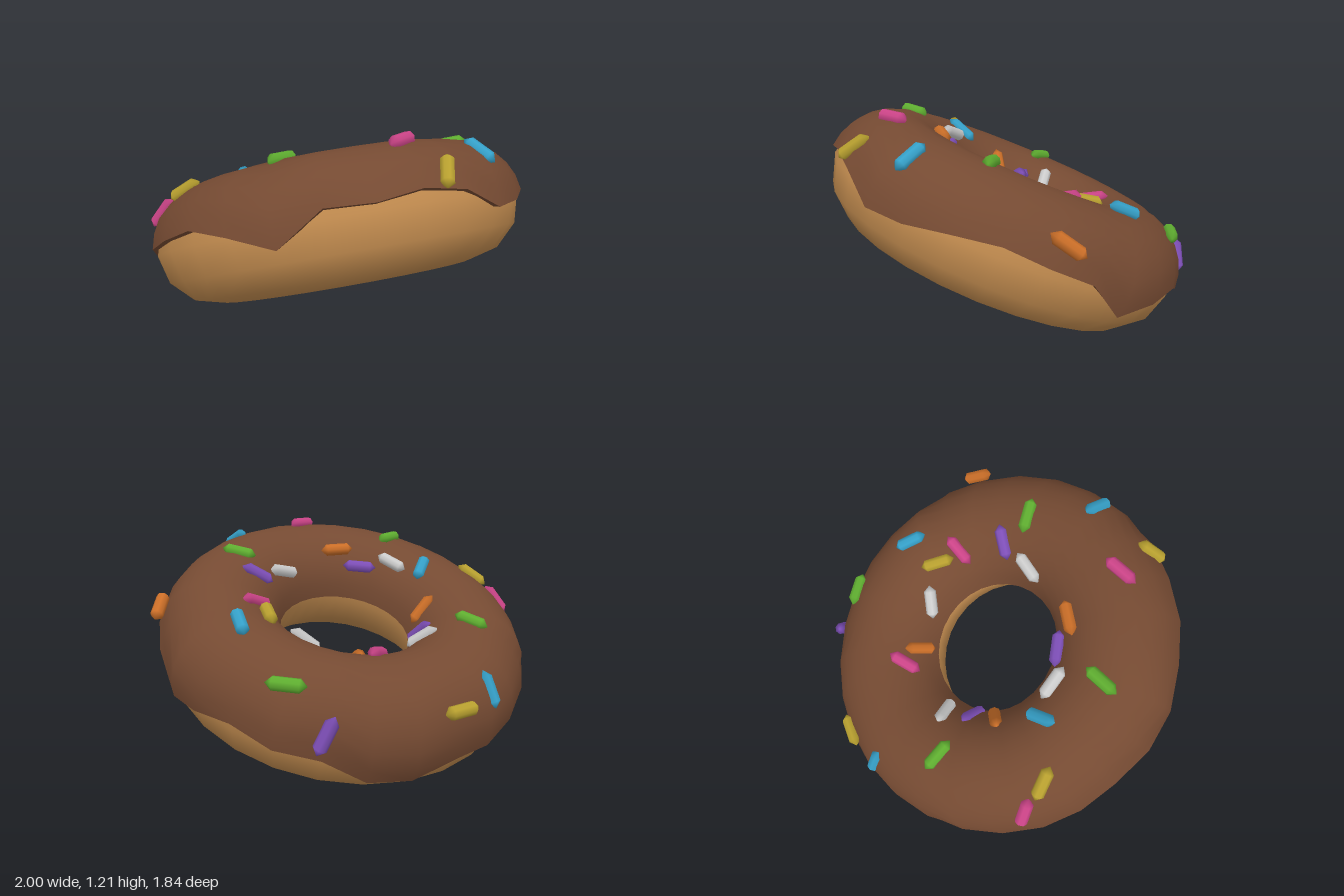
import * as THREE from 'three';
import { mergeGeometries } from 'three/addons/utils/BufferGeometryUtils.js';

const RING = 0.67, DOUGH = 0.295, ICING = 0.318, SEGS = 28;
const TILT = THREE.MathUtils.degToRad(24.5);
const CENTRE = new THREE.Vector3(-0.015, 0.572, 0);

// Height of the icing's outer edge at each step round the ring, from the front towards +x
const DRIPS = [0.06, 0.03, -0.065, -0.04, 0.015, 0.055, 0.04, 0.028, -0.098, -0.013, 0.055, 0.019, 0.033, -0.08,
  -0.09, 0.0, -0.03, 0.0, 0.05, -0.03, 0.04, 0.03, 0.05, 0.065, 0.0, -0.092, 0.043, 0.03];

// Smooth strip round the ring; point(k, j) gives [tube angle, tube radius]
function ringStrip(rows, point) {
  const pos = [], idx = [];
  for (let j = 0; j <= rows; j++) {
    for (let k = 0; k < SEGS; k++) {
      const [a, r] = point(k, j), t = (k / SEGS) * Math.PI * 2;
      const rho = RING + r * Math.cos(a);
      pos.push(rho * Math.sin(t), r * Math.sin(a), rho * Math.cos(t));
      if (j < rows) {
        const n = (k + 1) % SEGS, p = j * SEGS + k, q = j * SEGS + n;
        idx.push(p, q, p + SEGS, q, q + SEGS, p + SEGS);
      }
    }
  }
  const g = new THREE.BufferGeometry();
  g.setAttribute('position', new THREE.Float32BufferAttribute(pos, 3));
  g.setIndex(idx);
  g.computeVertexNormals();
  return g;
}

// Icing shell with a thin lip at its wavy outer edge and its even inner edge
function icingGeometry() {
  const inner = THREE.MathUtils.degToRad(172), rows = 12;
  const outer = k => Math.asin(DRIPS[k] / ICING);
  const lip = 0.275;
  return mergeGeometries([
    ringStrip(rows, (k, j) => [THREE.MathUtils.lerp(outer(k), inner, j / rows), ICING]),
    ringStrip(1, (k, j) => [outer(k), j ? ICING : lip]),
    ringStrip(1, (k, j) => [inner, j ? lip : ICING]),
  ]);
}

// Height at which something dropped at x, z rests on the icing (or passes closest to it)
function restHeight(x, z) {
  let best = Infinity, bestY = 0;
  const p = new THREE.Vector3(), axis = new THREE.Vector3(1, 0, 0);
  for (let y = 1.3; y > 0.2; y -= 0.004) {
    p.set(x, y, z).sub(CENTRE).applyAxisAngle(axis, TILT);
    const d = Math.hypot(Math.hypot(p.x, p.z) - RING, p.y);
    if (d < ICING + 0.014) return y;
    if (d < best) { best = d; bestY = y; }
  }
  return bestY;
}

// Sprinkles by colour: x, z of both ends, then optional heights of both ends
const SPRINKLES = [
  [0xb8a02f, [
    [-0.33, -0.88, -0.14, -0.91, 0.41, 0.4], [0.475, -0.32, 0.465, -0.14],
    [-0.9, -0.05, -0.755, 0.07], [0.17, 0.74, 0.085, 0.89]]],
  [0x35a0c8, [
    [-0.47, -0.84, -0.417, -0.74], [0.64, -0.44, 0.64, -0.255],
    [-0.585, 0.13, -0.47, 0.02], [0.39, 0.535, 0.47, 0.71]]],
  [0x7e4fb8, [
    [0.36, -0.86, 0.44, -0.84, 0.44, 0.27], [-0.405, -0.31, -0.325, -0.14],
    [-0.295, 0.21, -0.125, 0.28], [0.34, 0.13, 0.515, 0.125]]],
  [0x5fae30, [
    [0.44, -0.75, 0.615, -0.655], [-0.6, -0.53, -0.49, -0.365],
    [-0.545, 0.425, -0.375, 0.325], [0.405, 0.22, 0.58, 0.32]]],
  [0xcc4488, [
    [-0.05, -0.45, 0.075, -0.59], [0.41, -0.055, 0.58, -0.15],
    [-0.985, -0.14, -0.86, -0.055], [-0.065, 0.655, 0.11, 0.55]]],
  [0xcc6f28, [
    [0.09, -0.51, 0.09, -0.335], [-0.5, -0.13, -0.365, -0.115],
    [-0.2, 0.315, 0, 0.33], [0.91, 0.18, 0.985, 0.03, 0.855, 0.735]]],
  [0xc0c0bc, [
    [-0.37, -0.415, -0.245, -0.31], [0.23, -0.32, 0.385, -0.3],
    [-0.44, 0.1, -0.325, 0.245], [0.18, 0.245, 0.33, 0.185]]],
];

export function createModel() {
  const model = new THREE.Group();
  model.name = 'doughnut';

  // Tilted ring of dough with icing
  const ring = new THREE.Group();
  ring.name = 'ring';
  ring.rotation.x = -TILT;
  ring.position.copy(CENTRE);
  model.add(ring);

  const dough = new THREE.Mesh(
    new THREE.TorusGeometry(RING, DOUGH, 12, SEGS).rotateX(Math.PI / 2),
    new THREE.MeshStandardMaterial({ color: 0xc08a4e }));
  dough.name = 'dough';
  const icing = new THREE.Mesh(icingGeometry(), new THREE.MeshStandardMaterial({ color: 0x754a32 }));
  icing.name = 'icing';
  ring.add(dough, icing);

  // Sprinkles: short rods with pointed ends
  const sprinkles = new THREE.Group();
  sprinkles.name = 'sprinkles';
  model.add(sprinkles);
  const rod = new THREE.CapsuleGeometry(0.033, 0.125, 1, 8);
  const up = new THREE.Vector3(0, 1, 0);
  for (const [color, list] of SPRINKLES) {
    const material = new THREE.MeshStandardMaterial({ color });
    for (const [x1, z1, x2, z2, y1 = restHeight(x1, z1), y2 = restHeight(x2, z2)] of list) {
      const a = new THREE.Vector3(x1, y1, z1), b = new THREE.Vector3(x2, y2, z2);
      const mesh = new THREE.Mesh(rod, material);
      mesh.name = 'sprinkle';
      mesh.position.lerpVectors(a, b, 0.5);
      mesh.quaternion.setFromUnitVectors(up, b.sub(a).normalize());
      sprinkles.add(mesh);
    }
  }
  return model;
}
